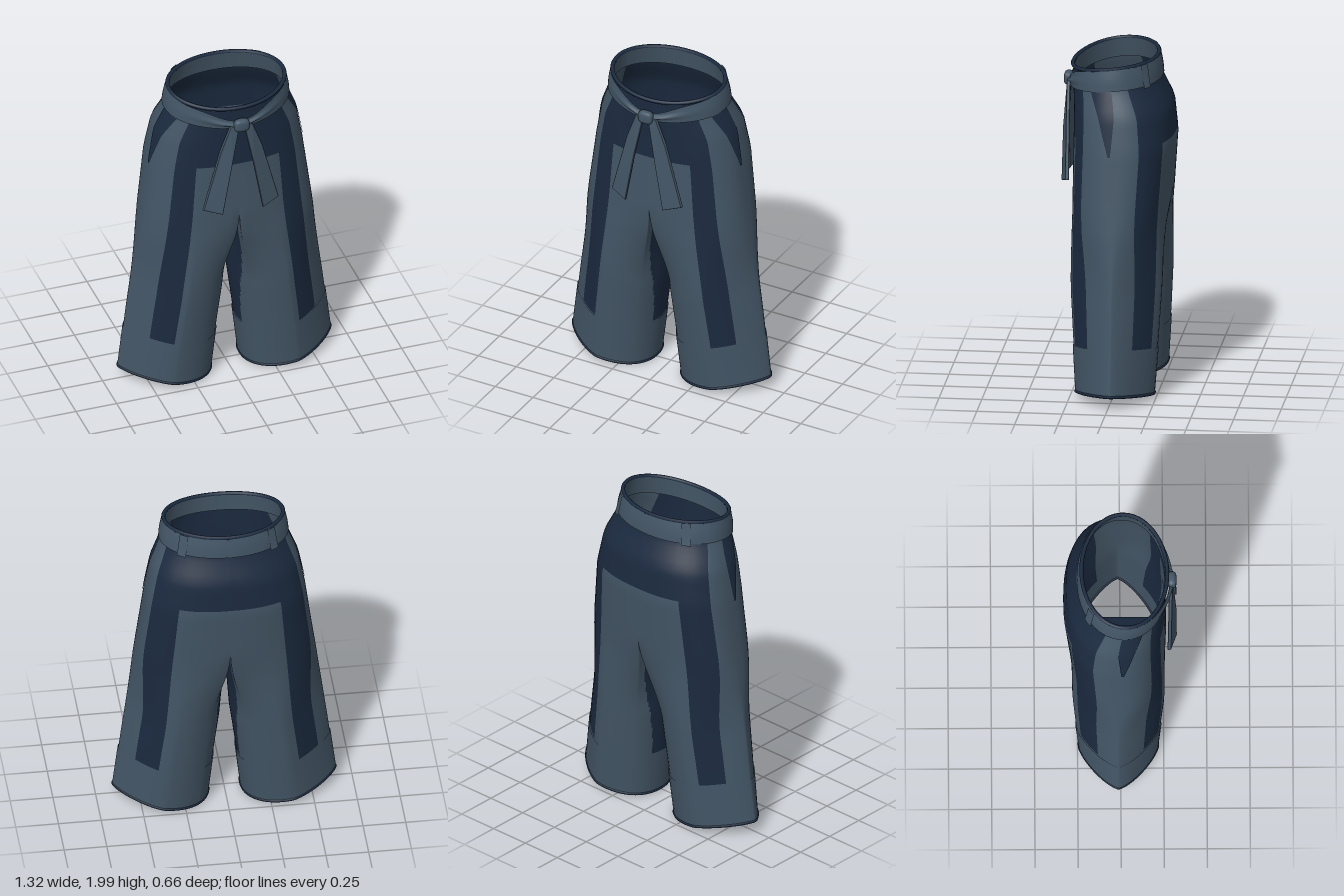
import * as THREE from 'three';

const { lerp, smoothstep, degToRad } = THREE.MathUtils;

// Fit profile: height, outer x, front z, back z, fullness, inner x
const PROFILE = [
  [0.00, 0.652, 0.213, -0.238, 2.4, 0.100],
  [0.35, 0.610, 0.236, -0.263, 2.4, 0.062],
  [0.60, 0.580, 0.252, -0.277, 2.4, 0.030],
  [1.00, 0.535, 0.266, -0.295, 2.4, 0.004],
  [1.20, 0.507, 0.266, -0.311, 2.4, 0.000],
  [1.50, 0.468, 0.262, -0.332, 2.4, 0.000],
  [1.70, 0.430, 0.262, -0.314, 2.3, 0.000],
  [1.86, 0.368, 0.268, -0.242, 2.1, 0.000],
  [2.00, 0.345, 0.270, -0.222, 2.0, 0.000],
];
const CROTCH = 1.2, CUFF = 0.285, YOKE = 1.53, HEM = 0.015;

// Angles of the panel seams around the hip and around one leg
const SEAMS = [0, 0.2, 0.3, 0.5, 0.7, 0.8, 1];
const HIP = [0, 29, 49, 90, 111, 144, 180];
const LEG = [-45, 16, 45, 90, 128, 157, 225];

function profileAt(s) {
  let i = 0;
  while (i < PROFILE.length - 2 && s > PROFILE[i + 1][0]) i++;
  const a = PROFILE[i], b = PROFILE[i + 1];
  const f = (s - a[0]) / (b[0] - a[0]);
  return a.map((v, j) => lerp(v, b[j], f));
}

function seamAngle(list, t) {
  let i = 0;
  while (i < SEAMS.length - 2 && t > SEAMS[i + 1]) i++;
  return degToRad(lerp(list[i], list[i + 1], (t - SEAMS[i]) / (SEAMS[i + 1] - SEAMS[i])));
}

const power = (v, n) => Math.sign(v) * Math.pow(Math.abs(v), 2 / n);

// Flat outline of one half: t 0..1 runs front, outside, back; 1..2 is the inner leg
function outline(t, s) {
  const [, xo, zf, zb, p, xi] = profileAt(s);
  const cz = (zf + zb) / 2, rz = (zf - zb) / 2;
  const k = 1 - smoothstep(s, 0.6, CROTCH);
  let hx = xi, hz = lerp(zb, zf, t - 1), a = degToRad(225 + 90 * (t - 1));
  if (t <= 1) {
    const h = seamAngle(HIP, t);
    hx = xi + (xo - xi) * power(Math.sin(h), p);
    hz = cz + rz * power(Math.cos(h), p);
    a = seamAngle(LEG, t);
  }
  // The leg is creased toward its outer side
  const n = Math.sin(a) > 0 ? 1.34 : 2.2;
  const lx = (xo + xi) / 2 + (xo - xi) / 2 * power(Math.sin(a), n);
  const lz = cz + rz * power(Math.cos(a), n);
  return [lerp(hx, lx, k), lerp(hz, lz, k), (lerp(hx, lx, k) - xi) / (xo - xi)];
}

// Point on the cloth, pushed outward by off; hem rises outward, waist dips in front
function cloth(side, t, s, off = 0) {
  const [x, z, across] = outline(t, s);
  const e = 0.004;
  const a = outline(Math.max(0, t - e), s), b = outline(Math.min(2, t + e), s);
  const dx = b[0] - a[0], dz = b[1] - a[1], d = Math.hypot(dx, dz) || 1;
  const dip = 0.06 * Math.pow(Math.max(0, (z + 0.23) / 0.5), 2.3) * smoothstep(s, 1.6, 1.95);
  const rise = 0.07 * Math.pow(Math.max(0, across), 1.5) * (1 - smoothstep(s, 0.35, 1.1));
  const px = (t === 0 || t === 1) && s >= CROTCH ? x : x - dz / d * off;
  return new THREE.Vector3(side * px, s + rise - dip, z + dx / d * off);
}

// Surface over a grid; pick(u, v) gives the material index or -1 for no face
function surface(us, vs, side, point, pick = () => 0, closed = false) {
  const pos = [], faces = [[], []], n = us.length;
  for (const v of vs) for (const u of us) pos.push(...point(u, v).toArray());
  for (let j = 0; j < vs.length - 1; j++) {
    for (let i = 0; i < (closed ? n : n - 1); i++) {
      const i2 = (i + 1) % n, u2 = i2 ? us[i2] : 2;
      const m = pick((us[i] + u2) / 2, (vs[j] + vs[j + 1]) / 2);
      if (m < 0) continue;
      const a = j * n + i, b = j * n + i2, c = b + n, d = a + n;
      faces[m].push(...(side > 0 ? [a, b, c, a, c, d] : [a, c, b, a, d, c]));
    }
  }
  const g = new THREE.BufferGeometry();
  g.setAttribute('position', new THREE.Float32BufferAttribute(pos, 3));
  g.setIndex([...faces[0], ...faces[1]]);
  g.addGroup(0, faces[0].length, 0);
  g.addGroup(faces[0].length, faces[1].length, 1);
  g.computeVertexNormals();
  return g;
}

const steps = (a, b, n) => Array.from({ length: n + 1 }, (_, i) => lerp(a, b, i / n));

// Panel colours: 0 slate, 1 navy
function panel(t, s) {
  if (t > 1) {
    if (s > CROTCH) return -1;
    return Number(s > CUFF && Math.abs(t - 1.5) < 0.2 + 0.2 * smoothstep(s, 0.3, 0.9));
  }
  if (s < CUFF) return 0;
  const f = Math.min(t, 1 - t);
  return Number(s > 1.87 || (f > 0.2 && f < 0.3) || (s > YOKE && f < 0.3));
}

export function createModel() {
  const model = new THREE.Group();
  const slate = new THREE.MeshStandardMaterial({ color: 0x435565, side: THREE.DoubleSide });
  const navy = new THREE.MeshStandardMaterial({ color: 0x1b2a3f, side: THREE.DoubleSide });
  slate.name = 'slate cloth';
  navy.name = 'navy cloth';
  const add = (name, geometry, material) => {
    const mesh = new THREE.Mesh(geometry, material);
    mesh.name = name;
    model.add(mesh);
    return mesh;
  };
  const piping = (name, points, r) => add(name,
    new THREE.TubeGeometry(new THREE.CatmullRomCurve3(points, true), 160, r, 8, true), navy);

  const around = steps(0, 2, 80).slice(0, -1);
  const half = steps(0, 1, 40);
  const rows = [...steps(HEM, CUFF, 5), ...steps(CUFF, CROTCH, 24).slice(1),
    ...steps(CROTCH, YOKE, 8).slice(1), ...steps(YOKE, 1.87, 9).slice(1), ...steps(1.87, 1.99, 3).slice(1)];

  for (const side of [1, -1]) {
    const name = side > 0 ? 'left' : 'right';

    // Leg and hip half with its navy panels
    add(name + 'Leg', surface(around, rows, side, (t, s) => cloth(side, t, s), panel, true), [slate, navy]);

    // Turned-up cuff and hem piping
    add(name + 'Cuff', surface(around, steps(HEM, CUFF, 5), side,
      (t, s) => cloth(side, t, s, 0.005), () => 0, true), slate);
    piping(name + 'HemEdge', around.map(t => cloth(side, t, HEM)), 0.01);

    // Slate lining on the inner leg
    add(name + 'LegLining', surface(steps(1, 2, 20), steps(HEM, 0.8, 12), side,
      (t, s) => cloth(side, t, s, -0.005)), slate);

    // Slanted side pocket
    add(name + 'Pocket', surface(steps(0, 1, 8), steps(1.48, 1.86, 10), side, (u, s) => {
      const f = (s - 1.48) / 0.38;
      return cloth(side, lerp(lerp(0.465, 0.375, f), lerp(0.475, 0.505, f), u), s, 0.005);
    }), navy);

    // Waistband lining
    add(name + 'WaistLining', surface(half, steps(1.87, 1.985, 3), side,
      (t, s) => cloth(side, t, s, -0.01)), slate);

    // Sash, pinched and gathered toward the knot
    add(name + 'Sash', surface(half, steps(0, 1, 12), side, (t, v) => {
      const c = cloth(side, t, 1.92);
      const pinch = c.z > 0 ? Math.exp(-Math.pow(c.x / 0.17, 2)) : 0;
      const s = lerp(1.862 - 0.016 * pinch, 1.985 - 0.08 * pinch, v);
      const pleats = 0.006 * pinch * Math.cos(v * Math.PI * 4);
      return cloth(side, t, s, 0.012 + 0.008 * Math.sin(Math.PI * v) * (0.4 + 2 * pinch) + pleats);
    }), slate);

    // Belt loop toward the back
    add(name + 'BeltLoop', surface(steps(0.76, 0.79, 3), steps(1.855, 1.99, 4), side,
      (t, s) => cloth(side, t, s, 0.022)), slate);

    // Hanging sash tail, swept back at its outer edge
    const tail = new THREE.Shape([[0.015, 1.83], [0.065, 1.82], [0.125, 1.66], [0.228, 1.27], [0.125, 1.24], [0.07, 1.55]]
      .map(([x, y]) => new THREE.Vector2(side * x, y)));
    const tailGeo = new THREE.ExtrudeGeometry(tail, {
      depth: 0.012, bevelThickness: 0.004, bevelSize: 0.003, bevelSegments: 1 });
    const p = tailGeo.attributes.position;
    for (let i = 0; i < p.count; i++) {
      const drop = 1.85 - p.getY(i);
      const sweep = Math.max(0, Math.abs(p.getX(i)) - 0.05 - 0.12 * drop);
      p.setZ(i, p.getZ(i) + 0.29 + 0.022 * smoothstep(drop, 0, 0.4) - 0.32 * sweep);
    }
    tailGeo.computeVertexNormals();
    add(name + 'Tail', tailGeo, slate);
  }

  // Piping around the top of the waist
  const left = steps(0, 1, 30).map(t => cloth(1, t, 1.988, 0.002));
  const right = left.slice(1, -1).reverse().map(v => new THREE.Vector3(-v.x, v.y, v.z));
  piping('waistEdge', [...left, ...right], 0.012);

  // Knot of the sash
  const knot = add('knot', new THREE.SphereGeometry(1, 20, 14), slate);
  const k = knot.geometry.attributes.position;
  for (let i = 0; i < k.count; i++) {
    k.setXYZ(i, 0.047 * power(k.getX(i), 3), 0.04 * power(k.getY(i), 3), 0.027 * power(k.getZ(i), 3));
  }
  knot.geometry.computeVertexNormals();
  knot.position.set(0, 1.824, 0.3);

  return model;
}
